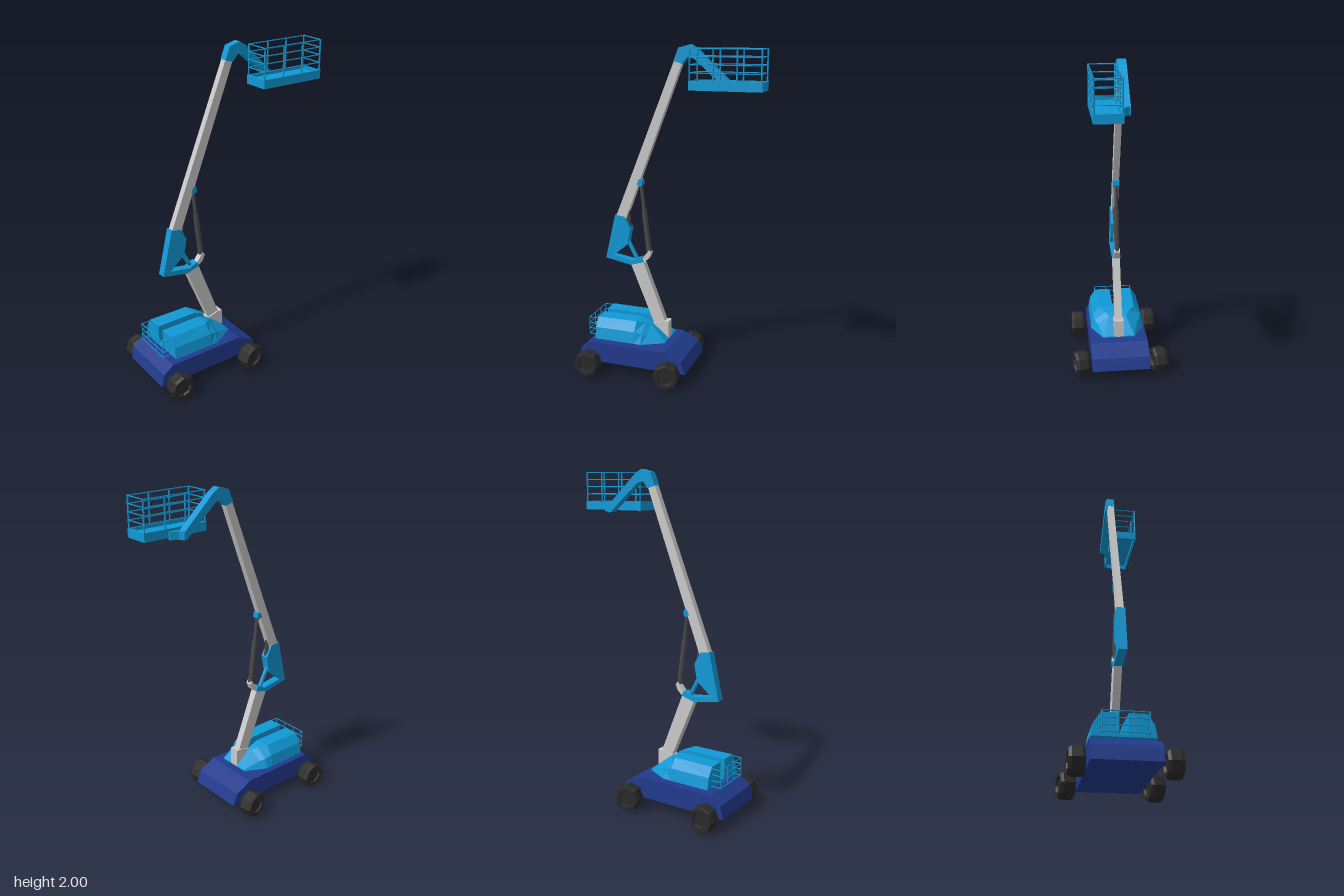
import * as THREE from 'three';

const mat = (name, color) => Object.assign(new THREE.MeshStandardMaterial({ color }), { name });

export function createModel() {
  const model = new THREE.Group();
  model.name = 'boomLift';
  const blue = mat('bright blue', 0x1099d6);
  const navy = mat('navy blue', 0x213a8c);
  const grey = mat('light grey', 0xcacaca);
  const tyre = mat('tyre black', 0x2a2a2a);
  const steel = mat('dark steel', 0x4a4a4a);

  const add = (name, geo, material, parent = model) => {
    const mesh = new THREE.Mesh(geo, material);
    mesh.name = name;
    parent.add(mesh);
    return mesh;
  };
  const flat = (geo) => {
    const g = geo.index ? geo.toNonIndexed() : geo;
    g.computeVertexNormals();
    return g;
  };
  // Side profile in x, y extruded between two z values
  const plate = (name, pts, z0, z1, material, parent) => {
    const shape = new THREE.Shape(pts.map(([x, y]) => new THREE.Vector2(x, y)));
    const geo = new THREE.ExtrudeGeometry(shape, { depth: z1 - z0, bevelEnabled: false });
    geo.translate(0, 0, z0);
    return add(name, geo, material, parent);
  };
  // Box from its minimum and maximum corners
  const box = (name, a, b, material, parent) => {
    const geo = new THREE.BoxGeometry(b[0] - a[0], b[1] - a[1], b[2] - a[2]);
    geo.translate((a[0] + b[0]) / 2, (a[1] + b[1]) / 2, (a[2] + b[2]) / 2);
    return add(name, geo, material, parent);
  };
  // Round bar between two points
  const rod = (name, a, b, r, material, parent, sides = 10) => {
    const p = new THREE.Vector3(...a), q = new THREE.Vector3(...b);
    const mesh = add(name, new THREE.CylinderGeometry(r, r, p.distanceTo(q), sides), material, parent);
    mesh.position.copy(p).add(q).multiplyScalar(0.5);
    mesh.quaternion.setFromUnitVectors(new THREE.Vector3(0, 1, 0), q.sub(p).normalize());
    return mesh;
  };

  // Chassis
  plate('chassis', [[-0.565, 0.066], [0.138, 0.066], [0.11, 0.14], [0.005, 0.192],
    [-0.485, 0.192], [-0.548, 0.145]], -0.182, 0.182, navy);

  // Wheels, octagonal with recessed hubs; the front pair is steered
  const half = [[0.08, 0.026], [0.072, 0.0425], [0.05, 0.0425], [0.044, 0.03], [0, 0.03]];
  const profile = [...half.map(([r, y]) => [r, -y]).reverse(), ...half];
  const wheelGeo = flat(new THREE.LatheGeometry(profile.map((p) => new THREE.Vector2(...p)), 8));
  wheelGeo.rotateX(Math.PI / 2);
  for (const s of [-1, 1]) {
    add('rearWheel', wheelGeo, tyre).position.set(-0.475, 0.079, s * 0.242);
    const front = add('frontWheel', wheelGeo, tyre);
    front.position.set(0.042, 0.079, s * 0.247);
    front.rotation.y = 0.18;
  }

  // Turntable and turret floor
  const table = add('turntable', new THREE.CylinderGeometry(0.06, 0.06, 0.03, 16), blue);
  table.position.set(-0.235, 0.203, 0);
  box('turretFloor', [-0.455, 0.213, -0.03], [-0.03, 0.225, 0.03], blue);

  // Turret hoods: lofted cross-sections, [x, bottom z, middle z, middle y, top z, top y]
  const inner = 0.024;
  const stations = [
    [-0.455, 0.17, 0.157, 0.285, 0.12, 0.34],
    [-0.2, 0.17, 0.157, 0.285, 0.115, 0.34],
    [-0.155, 0.17, 0.148, 0.272, 0.075, 0.325],
    [-0.125, 0.155, 0.128, 0.26, 0.055, 0.31],
    [-0.02, 0.1, 0.099, 0.218, 0.098, 0.221],
  ];
  const hood = (side) => {
    const rings = stations.map(([x, zb, zm, ym, zt, yt]) =>
      [[zb, 0.214], [zm, ym], [zt, yt], [inner, yt], [inner, 0.214]].map(([z, y]) => [x, y, z * side]));
    const pos = [];
    const tri = (a, b, c) => pos.push(...a, ...(side > 0 ? b : c), ...(side > 0 ? c : b));
    for (let i = 0; i < rings.length - 1; i++) {
      for (let k = 0; k < 5; k++) {
        const n = (k + 1) % 5, p = rings[i], q = rings[i + 1];
        tri(p[k], q[k], q[n]);
        tri(p[k], q[n], p[n]);
      }
    }
    const first = rings[0], last = rings[rings.length - 1];
    for (let k = 1; k < 4; k++) {
      tri(first[0], first[k], first[k + 1]);
      tri(last[0], last[k + 1], last[k]);
    }
    const geo = new THREE.BufferGeometry();
    geo.setAttribute('position', new THREE.Float32BufferAttribute(pos, 3));
    return flat(geo);
  };
  add('leftHood', hood(1), blue);
  add('rightHood', hood(-1), blue);

  // Guard rail behind the turret
  const guard = new THREE.Group();
  guard.name = 'rearGuardRail';
  model.add(guard);
  for (const y of [0.222, 0.258, 0.294, 0.33]) {
    rod('guardBar', [-0.513, y, -0.122], [-0.513, y, 0.122], 0.003, blue, guard, 6);
    for (const z of [-0.122, 0.122]) rod('guardBar', [-0.513, y, z], [-0.45, y, z], 0.003, blue, guard, 6);
  }
  for (const z of [-0.122, -0.041, 0.041, 0.122]) {
    rod('guardPost', [-0.513, 0.22, z], [-0.513, 0.332, z], 0.003, blue, guard, 6);
  }

  // Lower boom with its foot
  plate('boomFoot', [[-0.13, 0.305], [-0.085, 0.215], [-0.022, 0.215], [-0.022, 0.328], [-0.06, 0.328]],
    -0.03, 0.03, grey);
  plate('lowerBoom', [[-0.27, 0.675], [-0.11, 0.285], [-0.04, 0.31], [-0.185, 0.69]], -0.022, 0.022, grey);

  // Elbow bracket and the linkage around it
  plate('elbowBracket', [[-0.37, 0.98], [-0.31, 0.972], [-0.27, 0.9], [-0.29, 0.8], [-0.385, 0.72],
    [-0.255, 0.7], [-0.2, 0.725], [-0.185, 0.695], [-0.27, 0.67], [-0.435, 0.7]], -0.025, 0.025, blue);
  plate('ramLink', [[-0.205, 0.705], [-0.17, 0.75], [-0.152, 0.775], [-0.138, 0.755], [-0.155, 0.718],
    [-0.19, 0.69]], -0.018, 0.018, grey);
  rod('elbowStrut', [-0.3, 0.83], [-0.235, 0.705], 0.001, blue).visible = true;
  rod('elbowStrutBar', [-0.305, 0.84, 0], [-0.235, 0.705, 0], 0.013, blue);
  rod('elbowRam', [-0.293, 1.01, 0], [-0.285, 0.9, 0], 0.013, steel);

  // Long lifting ram and its upper bracket
  rod('ramBarrel', [-0.157, 0.76, 0], [-0.187, 1.02, 0], 0.016, steel);
  rod('ramRod', [-0.185, 1.0, 0], [-0.206, 1.19, 0], 0.011, steel);
  plate('ramBracket', [[-0.228, 1.18], [-0.212, 1.213], [-0.193, 1.21], [-0.19, 1.18], [-0.2, 1.168]],
    -0.02, 0.02, blue);

  // Upper boom
  plate('upperBoom', [[-0.365, 0.97], [0.01, 1.91], [0.057, 1.895], [-0.3, 0.96]], -0.019, 0.019, grey);

  // Jib and the bracket that carries the basket
  plate('jib', [[0.008, 1.908], [0.037, 1.982], [0.105, 2.0], [0.146, 1.975], [0.345, 1.79],
    [0.345, 1.748], [0.325, 1.752], [0.13, 1.922], [0.09, 1.932], [0.057, 1.893]], -0.024, 0.024, blue);
  const bracket = plate('basketBracket', [[0.33, 0.024], [0.34, -0.024], [0.36, 0.005], [0.405, 0.021],
    [0.405, 0.036], [0.365, 0.036]], 0, 0.045, blue);
  bracket.rotation.x = Math.PI / 2;
  bracket.position.y = 1.795;

  // Basket: open tray with a raised floor
  const basket = new THREE.Group();
  basket.name = 'basket';
  model.add(basket);
  const [x0, x1, z0, z1] = [0.15, 0.56, 0.034, 0.188];
  const [low, high, t] = [1.76, 1.81, 0.012];
  box('trayFloor', [x0 + t, 1.785, z0 + t], [x1 - t, 1.792, z1 - t], blue, basket);
  for (const z of [z0, z1 - t]) box('traySide', [x0, low, z], [x1, high, z + t], blue, basket);
  for (const x of [x0, x1 - t]) box('trayEnd', [x, low, z0 + t], [x + t, high, z1 - t], blue, basket);

  // Basket railings
  const [rx0, rx1, rz0, rz1] = [x0 + 0.005, x1 - 0.006, z0 + 0.006, z1 - 0.006];
  for (const y of [1.853, 1.897, 1.94, 1.982]) {
    for (const z of [rz0, rz1]) rod('rail', [rx0, y, z], [rx1, y, z], 0.0035, blue, basket, 6);
    for (const x of [rx0, rx1]) rod('rail', [x, y, rz0], [x, y, rz1], 0.0035, blue, basket, 6);
  }
  for (let i = 0; i < 4; i++) {
    const x = rx0 + ((rx1 - rx0) * i) / 3;
    for (const z of [rz0, rz1]) rod('post', [x, 1.8, z], [x, 1.985, z], 0.005, blue, basket, 6);
  }
  return model;
}
